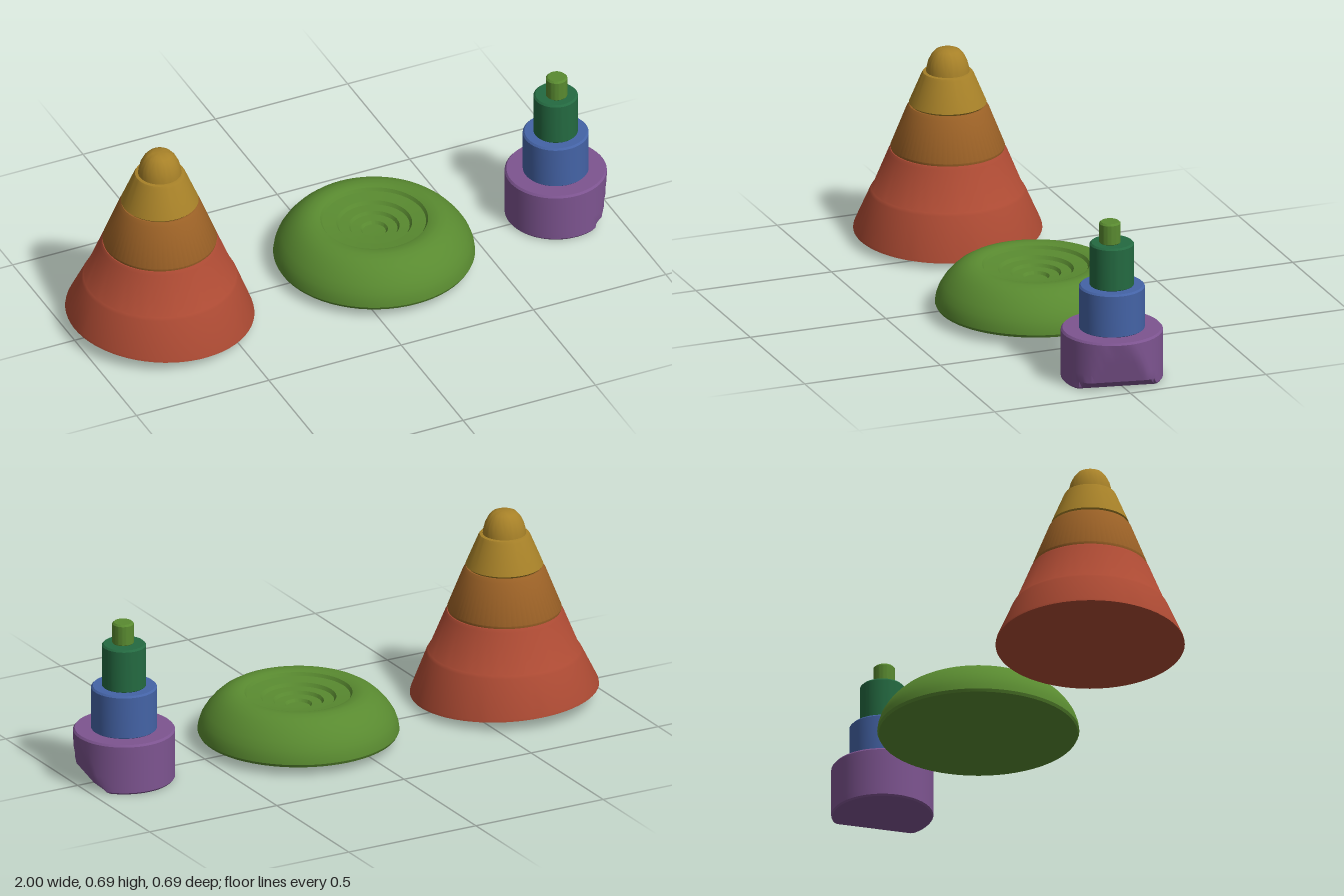
import * as THREE from 'three';
import { toCreasedNormals } from 'three/addons/utils/BufferGeometryUtils.js';

const mat = (name, color) => {
  const m = new THREE.MeshStandardMaterial({ color });
  m.name = name;
  return m;
};

// Turned part from [radius, y] points listed bottom to top; bend moves each vertex by a rule
function turned(name, points, material, bend) {
  const geo = new THREE.LatheGeometry(points.map(([r, y]) => new THREE.Vector2(r, y)), 64);
  if (bend) {
    const pos = geo.attributes.position;
    const v = new THREE.Vector3();
    for (let i = 0; i < pos.count; i++) {
      bend(v.fromBufferAttribute(pos, i));
      pos.setXYZ(i, v.x, v.y, v.z);
    }
  }
  const mesh = new THREE.Mesh(toCreasedNormals(geo, 0.6), material);
  mesh.name = name;
  return mesh;
}

function group(name, x, z, ...parts) {
  const g = new THREE.Group();
  g.name = name;
  g.position.set(x, 0, z);
  g.add(...parts);
  return g;
}

export function createModel() {
  const red = mat('brick red', 0xac4a33);
  const orange = mat('burnt orange', 0x9b6126);
  const yellow = mat('ochre yellow', 0xa78128);
  const green = mat('leaf green', 0x598a30);
  const darkGreen = mat('deep green', 0x246a41);
  const blue = mat('blue', 0x4463a6);
  const purple = mat('purple', 0x7d5490);

  // Tiered cone with a slightly tilted base
  const tilt = (v) => {
    if (v.y < 0.1) v.y -= 0.046 * v.x + 0.02 * v.z;
  };
  const cone = group('tieredCone', -0.678, 0,
    turned('coneBaseTiers', [[0, 0.031], [0.31, 0.031], [0.324, 0.036], [0.322, 0.045], [0.268, 0.17],
      [0.262, 0.18], [0.258, 0.183], [0.204, 0.315], [0.197, 0.325], [0.18, 0.328], [0, 0.328]], red, tilt),
    turned('coneMiddleTier', [[0, 0.322], [0.194, 0.326], [0.196, 0.335], [0.142, 0.472],
      [0.132, 0.485], [0, 0.486]], orange),
    turned('coneUpperTier', [[0, 0.483], [0.125, 0.484], [0.133, 0.492], [0.09, 0.595],
      [0.085, 0.603], [0.075, 0.605], [0, 0.605]], yellow),
    turned('coneTip', [[0.075, 0.6], [0.073, 0.618], [0.067, 0.642], [0.056, 0.664],
      [0.042, 0.68], [0.025, 0.687], [0, 0.688]], yellow));

  // Round cushion with a stepped hollow on top
  const cushion = group('cushion', 0.132, 0,
    turned('cushionBody', [[0, 0.03], [0.325, 0.03], [0.341, 0.032], [0.346, 0.042], [0.343, 0.062],
      [0.334, 0.088], [0.318, 0.114], [0.298, 0.138], [0.275, 0.159], [0.25, 0.174], [0.225, 0.181],
      [0.2, 0.181], [0.185, 0.176], [0.178, 0.165], [0.13, 0.16], [0.122, 0.148], [0.087, 0.146],
      [0.08, 0.135], [0.047, 0.133], [0.04, 0.123], [0, 0.122]], green));

  // Straight tower tier with softened rims
  const tier = (name, r, y0, y1, material) => turned(name,
    [[0, y0], [r - 0.005, y0], [r, y0 + 0.005], [r, y1 - 0.006], [r - 0.006, y1], [0, y1]], material);

  // The lowest tier is shaved flat on its outer side, most strongly at the foot
  const shave = (v) => {
    const limit = v.y < 0.03 ? 0.1 + v.y * 1.33 : 0.14 + (v.y - 0.03) * 0.25;
    const over = 0.98 * v.x + 0.2 * v.z - limit;
    if (over > 0) {
      v.x -= 0.98 * over;
      v.z -= 0.2 * over;
    }
  };
  const tower = group('steppedTower', 0.82, -0.004,
    turned('towerBase', [[0, 0], [0.17, 0], [0.175, 0.006], [0.175, 0.03], [0.175, 0.06], [0.175, 0.1],
      [0.175, 0.14], [0.175, 0.174], [0.169, 0.181], [0, 0.181]], purple, shave),
    tier('towerLowerTier', 0.113, 0.178, 0.336, blue),
    tier('towerUpperTier', 0.076, 0.333, 0.49, darkGreen),
    tier('towerPeg', 0.037, 0.487, 0.566, green));
  tower.children[3].position.z = 0.007;

  const model = new THREE.Group();
  model.name = 'stackingShapes';
  model.add(cone, cushion, tower);
  return model;
}
